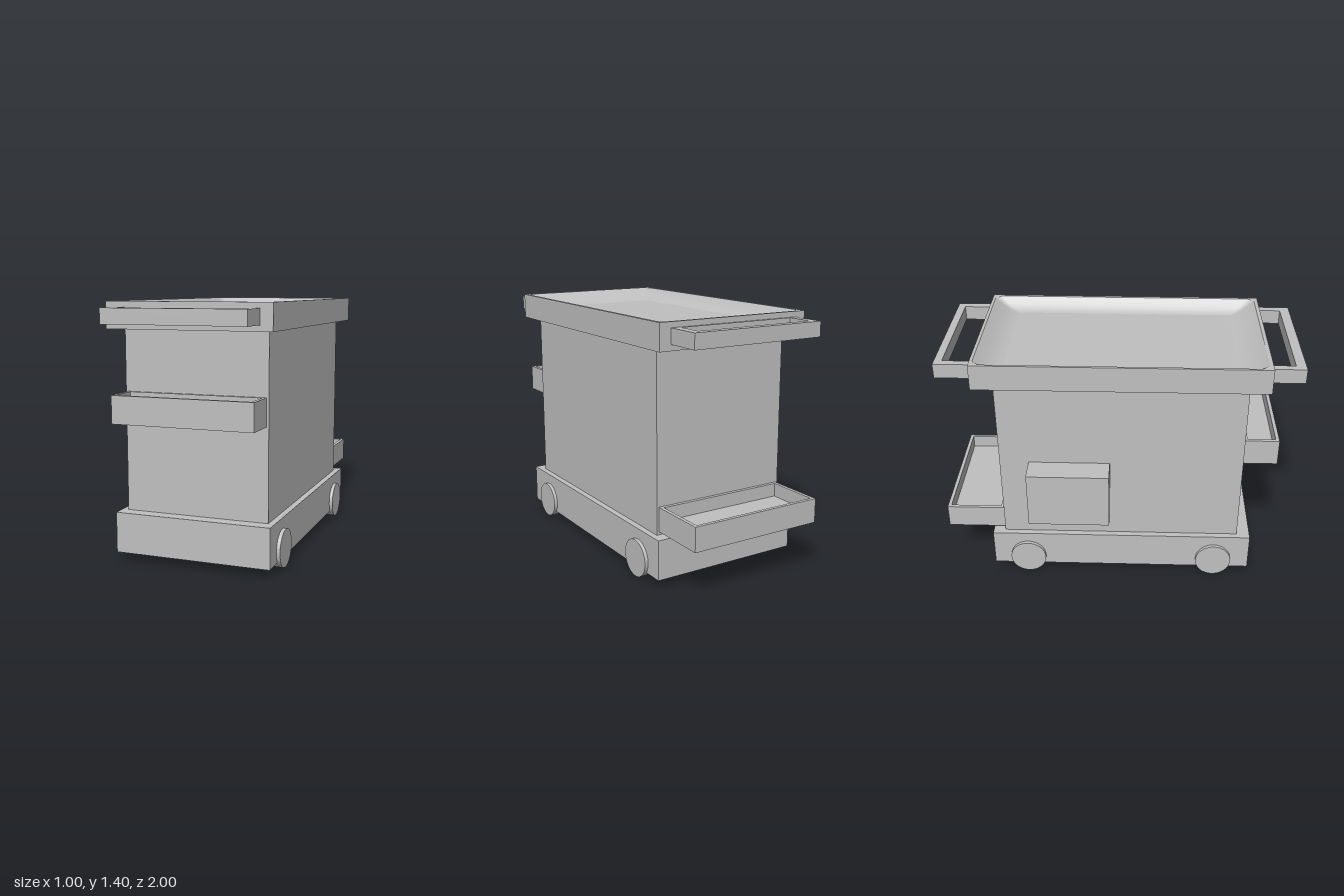
import * as THREE from 'three';

const grey = new THREE.MeshStandardMaterial({ color: 0xc0c0c0 });
grey.name = 'light grey';

// Corners of a rectangle on the ground plane, counter-clockwise from above, with cut corners if c > 0
function outline([x0, x1, z0, z1], c = 0) {
  const a = -z1, b = -z0;
  const p = c > 0
    ? [[x0 + c, a], [x1 - c, a], [x1, a + c], [x1, b - c], [x1 - c, b], [x0 + c, b], [x0, b - c], [x0, a + c]]
    : [[x0, a], [x1, a], [x1, b], [x0, b]];
  return p.map(([x, y]) => new THREE.Vector2(x, y));
}

export function createModel() {
  const model = new THREE.Group();
  model.name = 'serviceCart';

  const add = (name, geometry, parent = model) => {
    const mesh = new THREE.Mesh(geometry, grey);
    mesh.name = name;
    parent.add(mesh);
    return mesh;
  };
  const box = (name, [x0, x1, z0, z1], y0, y1, parent) =>
    add(name, new THREE.BoxGeometry(x1 - x0, y1 - y0, z1 - z0)
      .translate((x0 + x1) / 2, (y0 + y1) / 2, (z0 + z1) / 2), parent);
  // Rectangular ring extruded upwards
  const frame = (name, outer, inner, y0, y1, cut = 0, parent = model) => {
    const shape = new THREE.Shape(outline(outer));
    shape.holes.push(new THREE.Path(outline(inner, cut)));
    const g = new THREE.ExtrudeGeometry(shape, { depth: y1 - y0, bevelEnabled: false });
    return add(name, g.rotateX(-Math.PI / 2).translate(0, y0, 0), parent);
  };
  const group = (name) => {
    const g = new THREE.Group();
    g.name = name;
    model.add(g);
    return g;
  };

  // Cabinet and side box
  box('cabinet', [-0.36, 0.445, -0.665, 0.71], 0.2, 1.27);
  box('sideBox', [-0.505, -0.355, -0.5, -0.04], 0.43, 0.76);

  // Base, hollow underneath
  const base = group('base');
  const baseInner = [-0.36, 0.445, -0.7, 0.75];
  frame('baseSkirt', [-0.395, 0.48, -0.735, 0.785], baseInner, 0.045, 0.267, 0, base);
  box('baseDeck', baseInner, 0.17, 0.267, base);

  // Full-width rollers
  for (const [name, z] of [['frontRoller', 0.575], ['backRoller', -0.53]]) {
    const g = new THREE.CylinderGeometry(0.104, 0.104, 0.915, 48).rotateZ(Math.PI / 2);
    add(name, g.translate(0.0425, 0.104, z));
  }

  // Open bins
  const bins = [
    ['frontBin', [-0.348, 0.433, 0.7, 0.9], [-0.328, 0.413, 0.725, 0.88], 0.77, 0.92],
    ['backBin', [-0.348, 0.433, -1, -0.655], [-0.328, 0.413, -0.98, -0.685], 0.285, 0.42],
  ];
  for (const [name, outer, inner, y0, y1] of bins) {
    const bin = group(name);
    frame(name + 'Walls', outer, inner, y0, y1, 0, bin);
    box(name + 'Floor', inner, y0, y1 - 0.075, bin);
  }

  // Push handles
  frame('frontHandle', [-0.348, 0.433, 0.78, 1], [-0.305, 0.385, 0.8, 0.945], 1.288, 1.37);
  frame('backHandle', [-0.348, 0.433, -0.978, -0.74], [-0.305, 0.385, -0.935, -0.79], 1.288, 1.37);

  // Tray top: rim, underside and a dished recess
  const tray = group('tray');
  const mouth = [-0.4, 0.482, -0.76, 0.797];
  const floor = [-0.31, 0.4, -0.615, 0.65];
  const top = 1.4, depth = 0.07, cut = 0.035;
  frame('trayRim', [-0.415, 0.5, -0.777, 0.818], mouth, 1.256, top, cut, tray);
  box('trayUnderside', [-0.41, 0.495, -0.77, 0.81], 1.256, 1.315, tray);

  // Recess walls lofted through rings that flatten towards the floor
  const steps = 5, n = 8, pos = [], index = [];
  for (let i = 0; i <= steps; i++) {
    const t = i / steps;
    const rect = mouth.map((v, k) => THREE.MathUtils.lerp(v, floor[k], t));
    const y = top - depth * (1 - Math.pow(1 - t, 1.6));
    for (const p of outline(rect, cut * (1 - t) + 0.01 * t)) pos.push(p.x, y, -p.y);
    if (i === steps) break;
    for (let j = 0; j < n; j++) {
      const a = i * n + j, b = i * n + (j + 1) % n;
      index.push(a, b, a + n, b, b + n, a + n);
    }
  }
  const walls = new THREE.BufferGeometry();
  walls.setAttribute('position', new THREE.Float32BufferAttribute(pos, 3));
  walls.setIndex(index);
  walls.computeVertexNormals();
  add('trayRecessWalls', walls, tray);
  const floorGeo = new THREE.ShapeGeometry(new THREE.Shape(outline(floor, 0.01)));
  add('trayRecessFloor', floorGeo.rotateX(-Math.PI / 2).translate(0, top - depth, 0), tray);

  return model;
}
